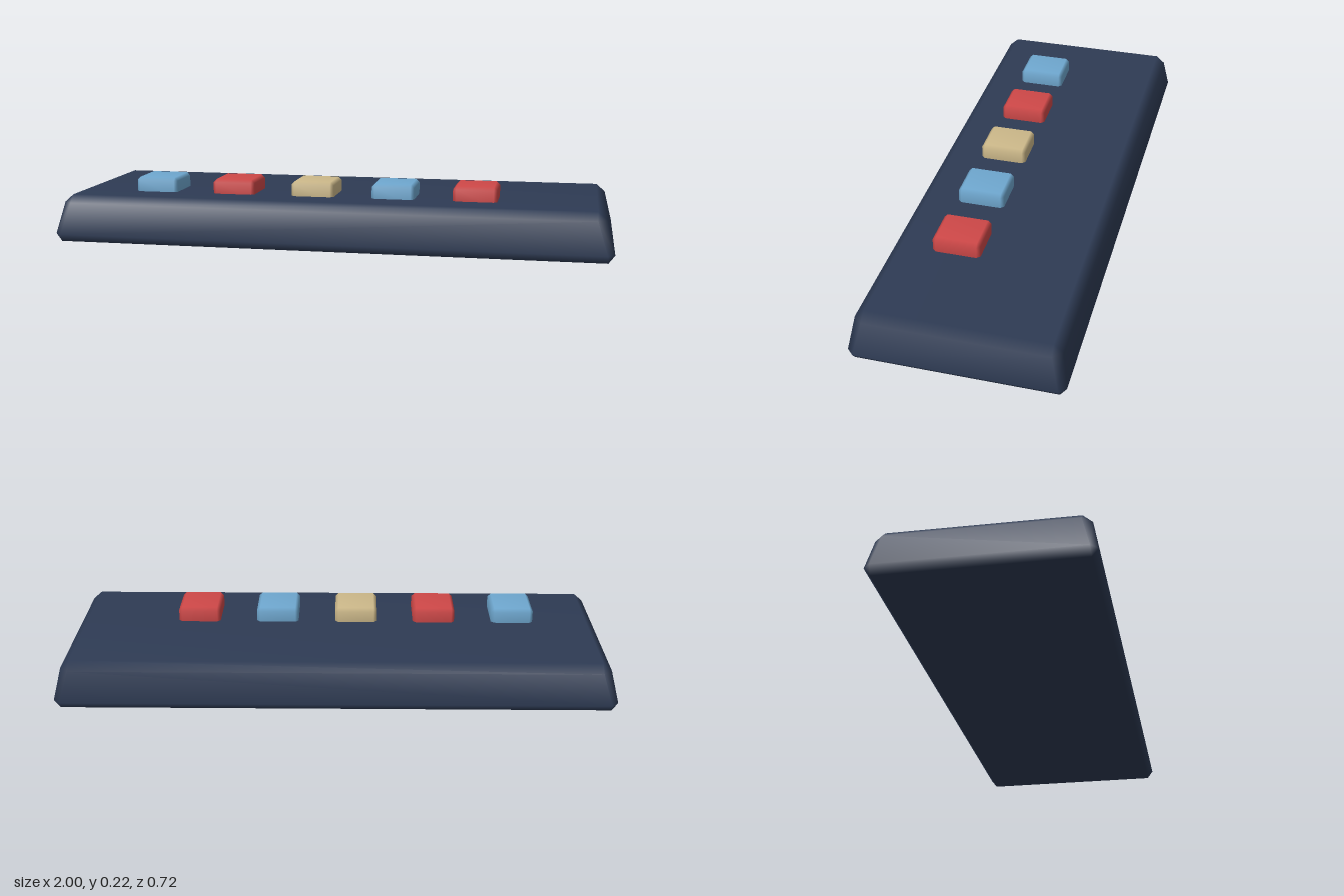
import * as THREE from 'three';
import { mergeVertices } from 'three/addons/utils/BufferGeometryUtils.js';
import { ConvexGeometry } from 'three/addons/geometries/ConvexGeometry.js';

const material = (name, color) => {
  const m = new THREE.MeshStandardMaterial({ color });
  m.name = name;
  return m;
};

// Bevelled block from cross-sections [y, halfWidth, halfDepth, cornerCut], softly shaded
function bevelledBlock(sections) {
  const points = [];
  for (const [y, w, d, cut] of sections) {
    for (const sx of [-1, 1]) {
      for (const sz of [-1, 1]) {
        points.push(new THREE.Vector3(sx * w, y, sz * (d - cut)));
        if (cut > 0) points.push(new THREE.Vector3(sx * (w - cut), y, sz * d));
      }
    }
  }
  const hull = new ConvexGeometry(points);
  hull.deleteAttribute('normal');
  const geometry = mergeVertices(hull, 1e-4);
  geometry.computeVertexNormals();
  return geometry;
}

export function createModel() {
  const group = new THREE.Group();
  group.name = 'controlPanel';

  const navy = material('navy', 0x2e3b54);
  const blue = material('blue', 0x6fa8d0);
  const red = material('red', 0xcf4848);
  const tan = material('tan', 0xcdb98a);

  // Tapered base slab with bevelled edges
  const base = new THREE.Mesh(bevelledBlock([
    [0, 0.978, 0.34, 0],
    [0.028, 1, 0.362, 0.024],
    [0.142, 0.972, 0.342, 0.031],
    [0.17, 0.94, 0.31, 0],
  ]), navy);
  base.name = 'base';
  group.add(base);

  // Row of five keys, slightly sunk into the base
  const keyGeometry = bevelledBlock([
    [0.145, 0.066, 0.072, 0],
    [0.157, 0.078, 0.084, 0.012],
    [0.211, 0.078, 0.084, 0.012],
    [0.223, 0.066, 0.072, 0],
  ]);
  [blue, red, tan, blue, red].forEach((color, i) => {
    const key = new THREE.Mesh(keyGeometry, color);
    key.name = `key${i + 1}`;
    key.position.set(-0.66 + 0.294 * i, 0, 0.114);
    group.add(key);
  });

  return group;
}
